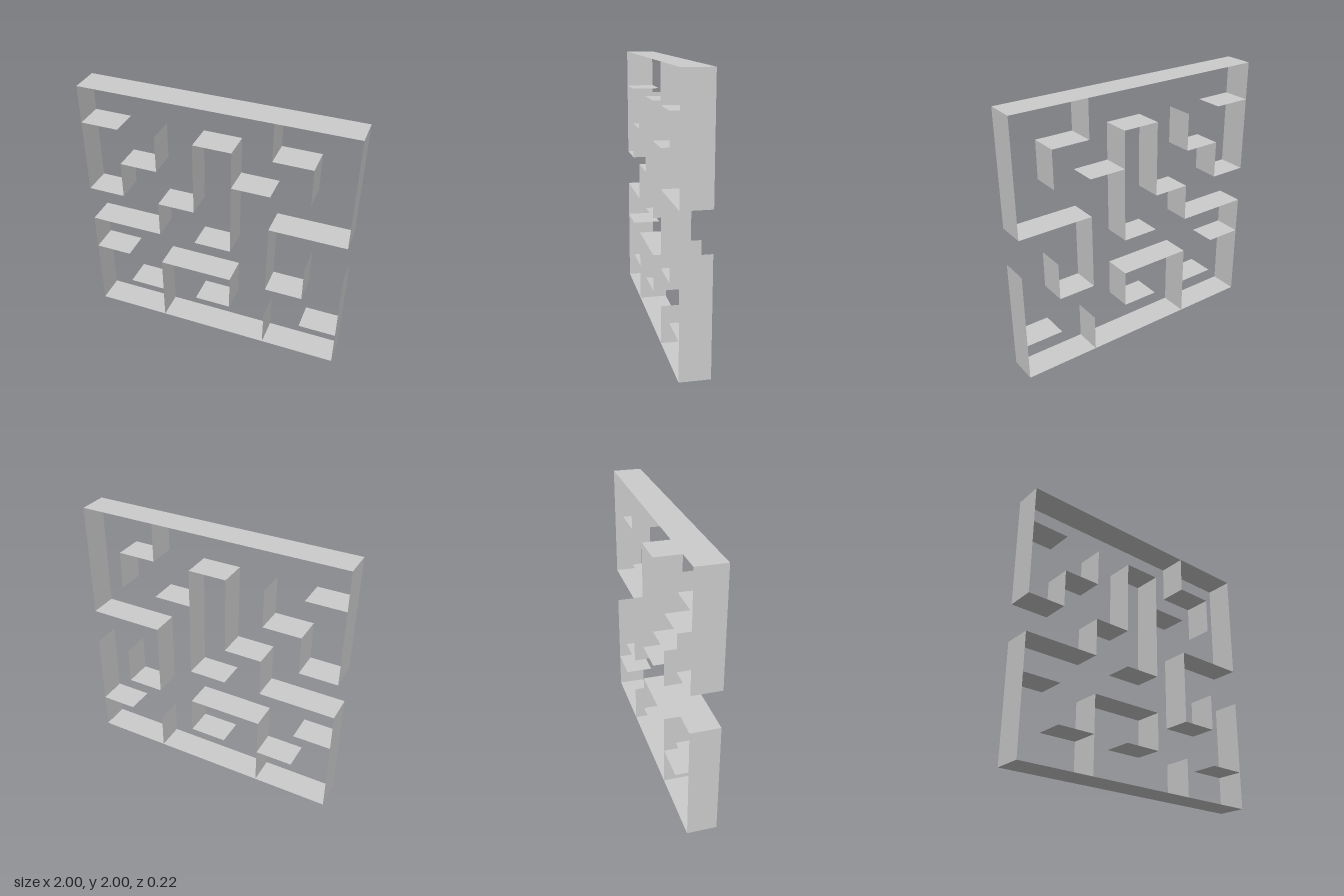
import * as THREE from 'three';

const CELLS = 7;
const CELL = 2 / CELLS;
const DEPTH = 0.216;

// Grid lines count from the left (columns) and from the top (rows).
// Horizontal walls: [row line, from column, to column]
const shelves = [
  [0, 0, 7],
  [1, 0, 1], [1, 3, 4], [1, 5, 6],
  [2, 1, 2], [2, 4, 5],
  [3, 0, 1], [3, 2, 3], [3, 5, 7],
  [4, 0, 2], [4, 3, 4],
  [5, 0, 1], [5, 2, 4], [5, 5, 6],
  [6, 1, 2], [6, 3, 4], [6, 6, 7],
  [7, 0, 7],
];

// Vertical walls: [column line, from row, to row]
const uprights = [
  [0, 0, 3], [0, 4, 7],
  [1, 2, 3],
  [2, 1, 2], [2, 3, 4], [2, 5, 7],
  [3, 1, 3],
  [4, 1, 4], [4, 5, 6],
  [5, 0, 1], [5, 3, 5], [5, 6, 7],
  [6, 1, 2], [6, 4, 5],
  [7, 0, 3], [7, 4, 7],
];

const gridX = (column) => -1 + column * CELL;
const gridY = (row) => 2 - row * CELL;

export function createModel() {
  const maze = new THREE.Group();
  maze.name = 'maze';
  const material = new THREE.MeshStandardMaterial({
    color: 0xcccccc, flatShading: true, side: THREE.DoubleSide,
  });

  const addWall = (name, geometry, x, y) => {
    const wall = new THREE.Mesh(geometry, material);
    wall.name = name;
    wall.position.set(x, y, 0);
    maze.add(wall);
  };

  // Thin horizontal sheets, facing up
  for (const [row, from, to] of shelves) {
    const sheet = new THREE.PlaneGeometry((to - from) * CELL, DEPTH).rotateX(-Math.PI / 2);
    const name = row === 0 ? 'topBorder' : row === CELLS ? 'bottomBorder' : 'horizontalWall';
    addWall(name, sheet, gridX((from + to) / 2), gridY(row));
  }

  // Thin vertical sheets, facing sideways
  for (const [column, from, to] of uprights) {
    const sheet = new THREE.PlaneGeometry(DEPTH, (to - from) * CELL).rotateY(Math.PI / 2);
    const name = column % CELLS === 0 ? 'sideBorder' : 'verticalWall';
    addWall(name, sheet, gridX(column), gridY((from + to) / 2));
  }

  return maze;
}
